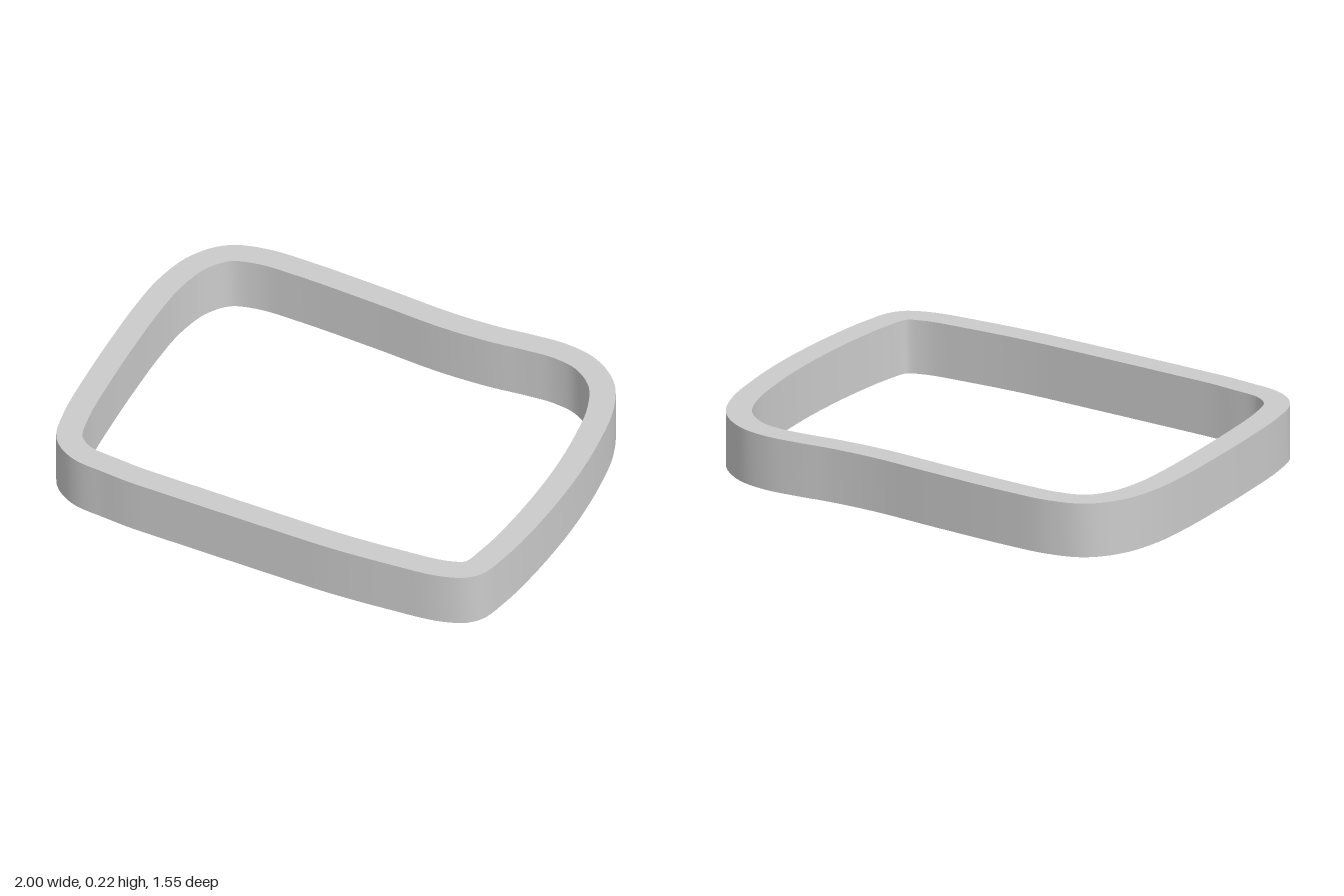
import * as THREE from 'three';
import { toCreasedNormals } from 'three/addons/utils/BufferGeometryUtils.js';

const HEIGHT = 0.217, WALL = 0.1, SAMPLES = 240;

// Centre line of the wall, as [x, z], clockwise seen from above
const CENTRE_LINE = [
  [-0.55, -0.715], [-0.2, -0.705], [0.08, -0.692], [0.28, -0.7], [0.44, -0.72],
  [0.56, -0.728], [0.68, -0.705], [0.795, -0.62], [0.865, -0.483], [0.908, -0.3],
  [0.936, -0.1], [0.948, 0.08], [0.949, 0.3], [0.935, 0.5], [0.905, 0.627],
  [0.82, 0.673], [0.6, 0.702], [0.45, 0.714], [0.32, 0.72], [0.2, 0.721],
  [-0.4, 0.721], [-0.5, 0.72], [-0.6, 0.712], [-0.74, 0.695], [-0.825, 0.635],
  [-0.87, 0.5], [-0.91, 0.22], [-0.932, 0], [-0.948, -0.22], [-0.948, -0.4],
  [-0.915, -0.56], [-0.84, -0.665], [-0.72, -0.707],
];

export function createModel() {
  const group = new THREE.Group();
  group.name = 'roundedFrame';

  const curve = new THREE.CatmullRomCurve3(
    CENTRE_LINE.map(([x, z]) => new THREE.Vector3(x, -z, 0)), true, 'centripetal');

  // Loop parallel to the centre line, at a signed distance outward
  const offsetLoop = (distance) => Array.from({ length: SAMPLES }, (_, i) => {
    const p = curve.getPointAt(i / SAMPLES);
    const t = curve.getTangentAt(i / SAMPLES);
    return new THREE.Vector2(p.x - t.y * distance, p.y + t.x * distance);
  });

  // Upright band with an open middle; the hole runs the other way round so its wall faces inward
  const shape = new THREE.Shape(offsetLoop(WALL / 2));
  shape.holes.push(new THREE.Path(offsetLoop(-WALL / 2).reverse()));
  const extruded = new THREE.ExtrudeGeometry(shape, { depth: HEIGHT, bevelEnabled: false });
  extruded.rotateX(-Math.PI / 2);

  const band = new THREE.Mesh(
    toCreasedNormals(extruded, Math.PI / 5),
    new THREE.MeshStandardMaterial({ color: 0xcccccc }));
  band.name = 'band';
  group.add(band);
  return group;
}
